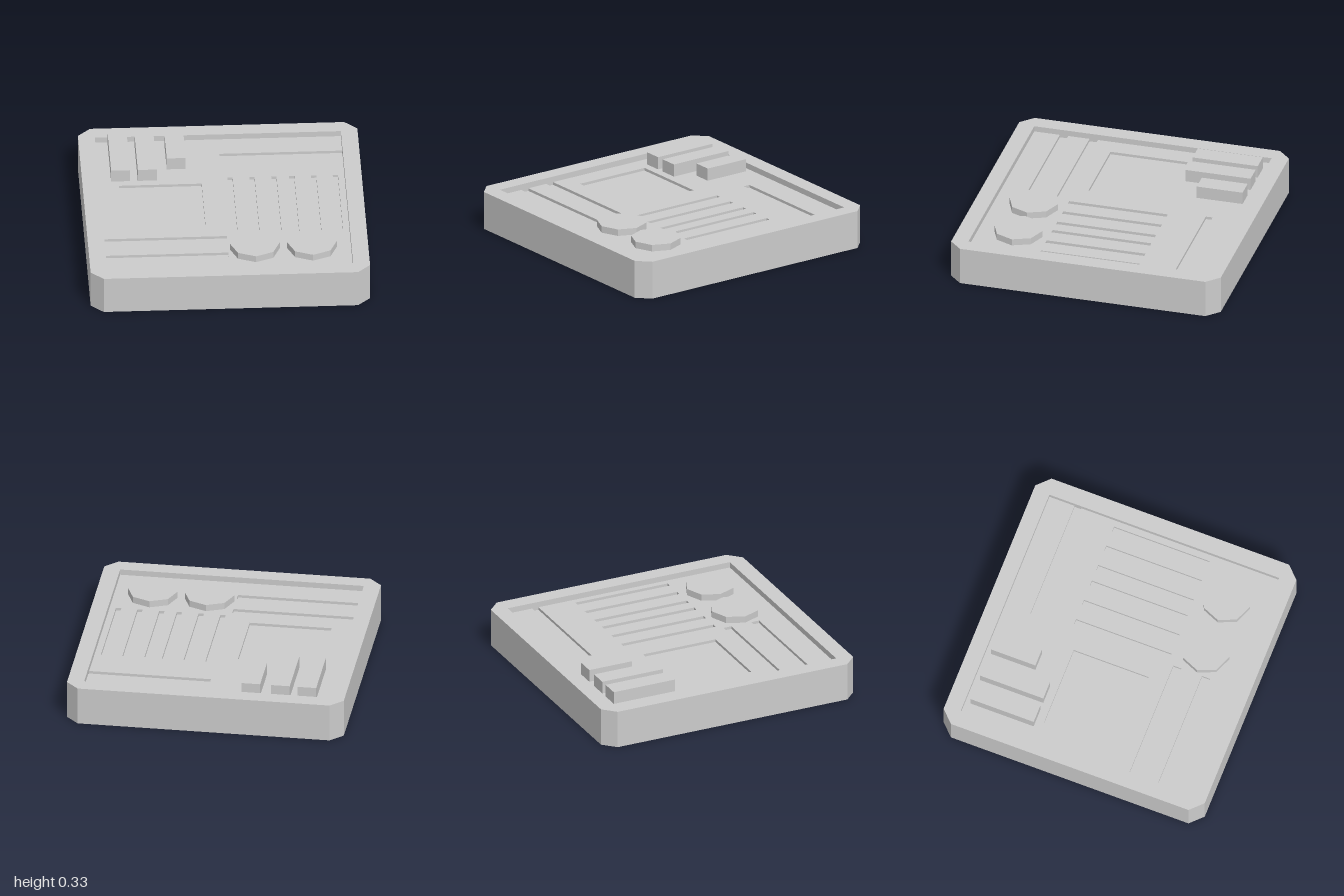
import * as THREE from 'three';

const RIM_TOP = 0.28, FLOOR = 0.238, BED = 0.218;
const HALF = 1, CUT = 0.09, INNER = 0.88;

// Points are given as [x, z]; the solid rises from y0 to y1
const flip = (pts) => pts.map(([x, z]) => new THREE.Vector2(x, -z));
const rect = (x0, x1, z0, z1) => [[x0, z0], [x1, z0], [x1, z1], [x0, z1]];

// Holes wind opposite to the outline so their walls face inwards
function slab(outline, holes, y0, y1) {
  const shape = new THREE.Shape(flip(outline));
  for (const h of holes) shape.holes.push(new THREE.Path(flip(h).reverse()));
  const geo = new THREE.ExtrudeGeometry(shape, { depth: y1 - y0, bevelEnabled: false });
  return geo.rotateX(-Math.PI / 2).translate(0, y0, 0);
}

export function createModel() {
  const group = new THREE.Group();
  const material = new THREE.MeshStandardMaterial({ color: 0xcccccc, flatShading: true });
  const add = (name, geo) => {
    const mesh = new THREE.Mesh(geo, material);
    mesh.name = name;
    group.add(mesh);
  };

  // Outer frame with chamfered corners and a square well
  const c = HALF - CUT;
  add('frame', slab(
    [[-c, -HALF], [c, -HALF], [HALF, -c], [HALF, c], [c, HALF], [-c, HALF], [-HALF, c], [-HALF, -c]],
    [rect(-INNER, INNER, -INNER, INNER)], 0, RIM_TOP));

  // Solid core whose top is the bed of every groove
  add('core', new THREE.BoxGeometry(INNER * 2, BED, INNER * 2).translate(0, BED / 2, 0));

  // Panel: long grooves are notches in its outline, the others are holes
  const I = INNER;
  const outline = [
    [-I, -I], [I, -I],
    [I, -0.687], [0, -0.687], [0, -0.637], [I, -0.637],
    [I, I], [-I, I],
    [-I, 0.69], [0, 0.69], [0, 0.628], [-I, 0.628],
    [-I, 0.47], [0, 0.47], [0, 0.408], [-I, 0.408],
  ];
  const slots = [0.061, 0.218, 0.375, 0.502, 0.66, 0.815]
    .map((x) => rect(x - 0.019, x + 0.019, -0.367, 0.365));
  const squareRecess = rect(-0.737, -0.145, -0.298, 0.275);
  add('panel', slab(outline, [squareRecess, ...slots], BED, FLOOR));

  // Raised blocks at the back
  for (const [x, z1] of [[-0.722, -0.357], [-0.531, -0.357], [-0.317, -0.5]]) {
    add('block', slab(rect(x - 0.068, x + 0.068, -0.84, z1), [], FLOOR, 0.33));
  }

  // Octagonal studs at the front
  for (const x of [0.191, 0.6]) {
    const h = 0.287 - FLOOR;
    add('stud', new THREE.CylinderGeometry(0.179, 0.179, h, 8).translate(x, FLOOR + h / 2, 0.586));
  }
  return group;
}
